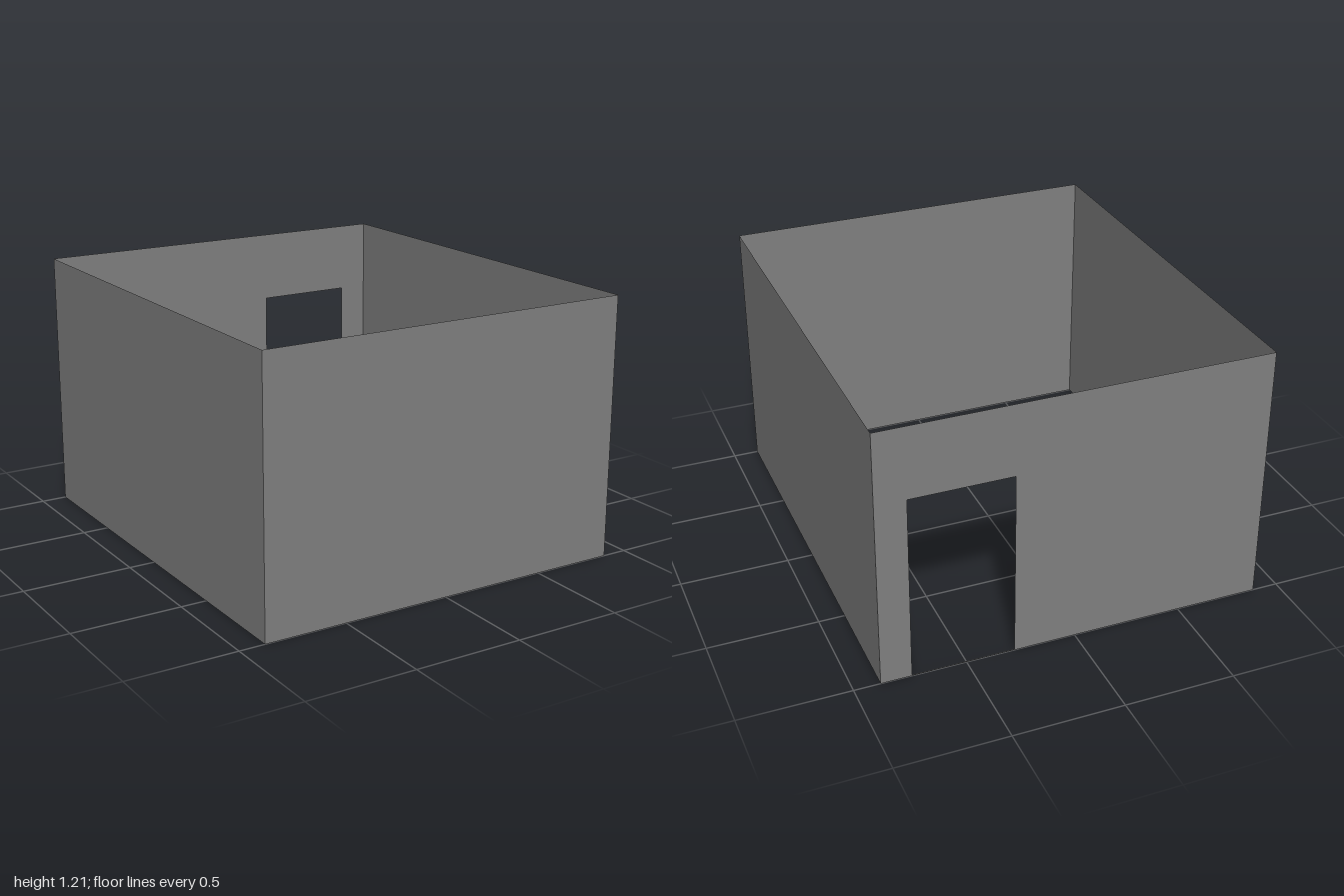
import * as THREE from 'three';

const W = 1.764, D = 2, H = 1.206;

export function createModel() {
  const room = new THREE.Group();
  room.name = 'openRoom';
  const wallGrey = new THREE.MeshStandardMaterial({ color: 0x808080, side: THREE.DoubleSide });
  wallGrey.name = 'wallGrey';

  // Rectangle with corners at (x0, y0) and (x1, y1)
  const rect = (Type, x0, y0, x1, y1) => new Type([
    new THREE.Vector2(x0, y0), new THREE.Vector2(x1, y0),
    new THREE.Vector2(x1, y1), new THREE.Vector2(x0, y1),
  ]);

  // Paper-thin wall, turned to face outward and pushed out from the centre
  const addWall = (name, width, distance, angle, opening) => {
    const shape = rect(THREE.Shape, -width / 2, 0, width / 2, H);
    if (opening) shape.holes.push(rect(THREE.Path, ...opening));
    const geometry = new THREE.ShapeGeometry(shape);
    geometry.translate(0, 0, distance);
    geometry.rotateY(angle);
    const wall = new THREE.Mesh(geometry, wallGrey);
    wall.name = name;
    room.add(wall);
  };

  addWall('frontWall', W, D / 2, 0);
  addWall('leftWall', D, W / 2, Math.PI / 2);
  addWall('rightWall', D, W / 2, -Math.PI / 2);
  // Back wall with a doorway above a very low sill
  addWall('backWall', W, D / 2, Math.PI, [-0.744, 0.005, -0.281, 0.873]);

  return room;
}
